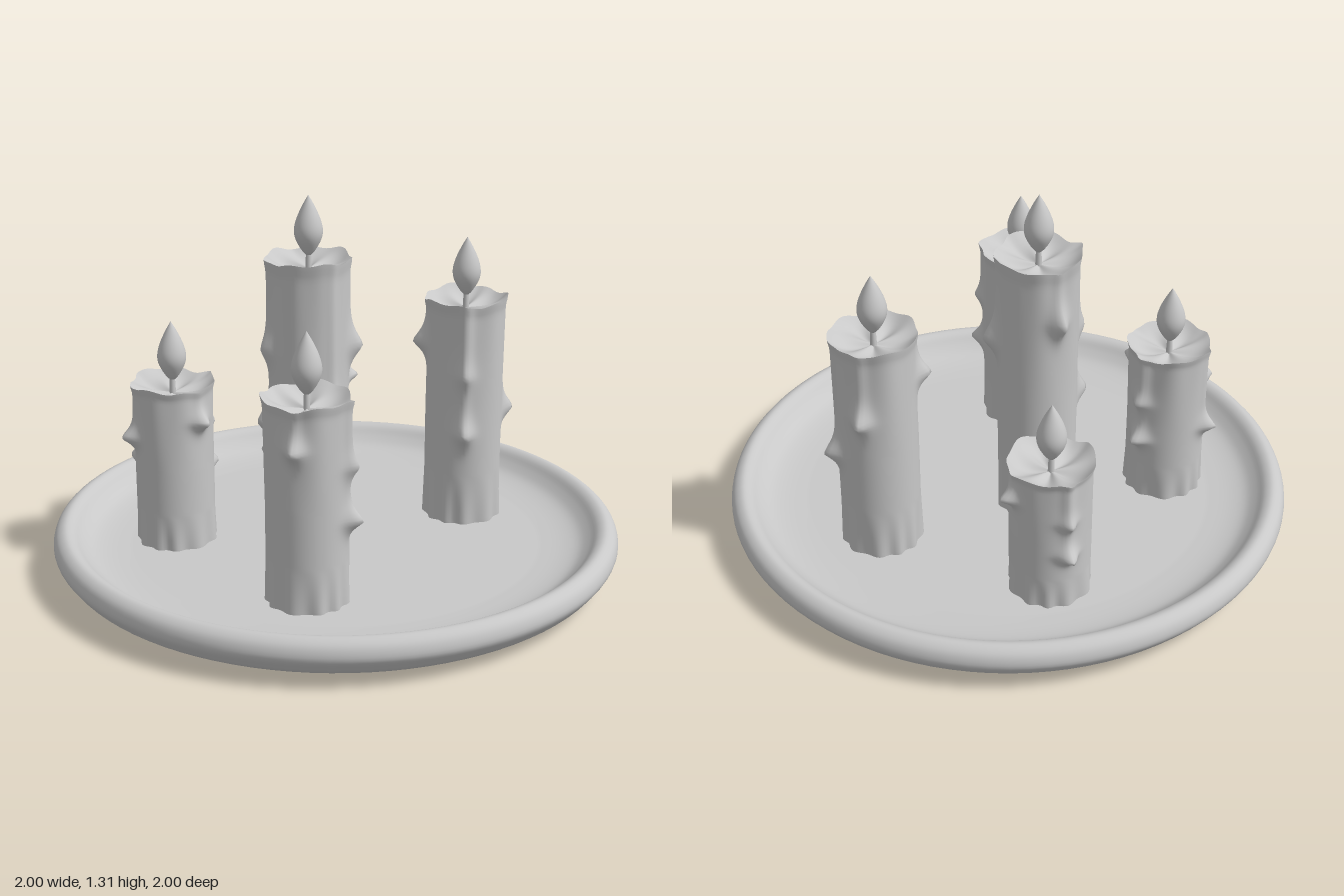
import * as THREE from 'three';
import { mergeVertices } from 'three/addons/utils/BufferGeometryUtils.js';

const FLOOR = 0.08, R = 0.138;
const stone = new THREE.MeshStandardMaterial({ color: 0xc8c8c8 });
stone.name = 'pale grey';

// wax drips: angle in degrees, height fraction of the bulb, how far it bulges
const DRIPS = [
  [-62, 0.80, 0.05], [51, 0.68, 0.05], [104, 0.47, 0.05],
  [-148, 0.42, 0.052], [-148, 0.68, 0.028],
];

const spline = (pts, n) =>
  new THREE.SplineCurve(pts.map(p => new THREE.Vector2(...p))).getPoints(n);

// smooth bump: 1 at zero, fading over the given width
const bump = (d, width, power) => Math.exp(-Math.pow(Math.abs(d / width), power));

function mesh(name, geometry) {
  const m = new THREE.Mesh(geometry, stone);
  m.name = name;
  return m;
}

// wavy lip shared by the wall and the melted top
const lip = a => 0.005 * Math.sin(3 * a + 1) + 0.005 * Math.sin(7 * a);

function waxRadius(a, f) {
  let r = R + 0.007 * bump(1 - f, 0.03, 2);
  // shallow folds that fade upward from the foot
  r += 0.006 * Math.sin(11 * a + Math.sin(3 * a)) * Math.max(0, 1 - f / 0.22);
  r += 0.6 * lip(a) * Math.max(0, (f - 0.5) * 2);
  for (const [deg, at, out] of DRIPS) {
    let d = a - THREE.MathUtils.degToRad(deg);
    d = Math.atan2(Math.sin(d), Math.cos(d));
    const dy = f - at;
    r += out * bump(d, 0.2, 1.6) * bump(dy, dy > 0 ? 0.06 : 0.05, 1.5);
    // thin run of wax from the lip down to the bulb
    r += 0.008 * bump(d, 0.14, 2) * THREE.MathUtils.smoothstep(dy, -0.03, 0.03);
  }
  return r;
}

// moves every vertex of a lathe by a rule and welds the seam
function reshape(points, segments, rule) {
  let g = new THREE.LatheGeometry(points, segments);
  const p = g.attributes.position;
  for (let i = 0; i < p.count; i++) {
    const x = p.getX(i), y = p.getY(i), z = p.getZ(i);
    const a = Math.atan2(z, x);
    const [r, h] = rule(a, Math.hypot(x, z), y);
    p.setXYZ(i, r * Math.cos(a), h, r * Math.sin(a));
  }
  g.deleteAttribute('uv');
  g.deleteAttribute('normal');
  g = mergeVertices(g, 1e-5);
  g.computeVertexNormals();
  return g;
}

function makeCandle(name, x, z, top, turn) {
  const candle = new THREE.Group();
  candle.name = name;
  const h = top - FLOOR;

  // dripping wall
  const wall = Array.from({ length: 61 }, (_, i) => new THREE.Vector2(R, i / 60));
  candle.add(mesh('waxBody', reshape(wall, 80, (a, r, f) =>
    [waxRadius(a, f), f * h + lip(a) * Math.pow(f, 8)])));

  // melted hollow in the top
  const bowl = Array.from({ length: 11 }, (_, i) => new THREE.Vector2(1 - i / 10, 0));
  candle.add(mesh('meltedTop', reshape(bowl, 80, (a, t) => {
    const dip = 0.042 * (t * t * t - 1);
    const folds = 0.032 * Math.sin(5 * a + 2) * t * (1 - t);
    return [t * waxRadius(a, 1), h + dip + folds + lip(a) * t * t];
  })));

  // wick and teardrop flame
  const wick = mesh('wick', new THREE.CylinderGeometry(0.009, 0.012, 0.07, 12));
  wick.position.y = h - 0.02;
  const flame = mesh('flame', new THREE.LatheGeometry(spline([
    [0, 0], [0.021, 0.02], [0.044, 0.06], [0.05, 0.095],
    [0.041, 0.135], [0.021, 0.18], [0, 0.217]], 24), 28));
  flame.position.y = h;
  candle.add(wick, flame);

  candle.position.set(x, FLOOR, z);
  candle.rotation.y = THREE.MathUtils.degToRad(-turn);
  return candle;
}

export function createModel() {
  const model = new THREE.Group();
  model.name = 'candlePlate';

  // round plate with a raised, rounded rim
  const profile = [
    new THREE.Vector2(0, 0),
    ...spline([[0.82, 0], [0.89, 0.012], [0.95, 0.04], [0.98, 0.07], [1, 0.105],
      [0.99, 0.145], [0.96, 0.166], [0.93, 0.158], [0.9, 0.128],
      [0.86, 0.1], [0.8, 0.086], [0.72, FLOOR]], 44),
    new THREE.Vector2(0, FLOOR),
  ];
  model.add(mesh('plate', new THREE.LatheGeometry(profile, 96)));

  // x, z, top height, turn in degrees
  [
    ['centreCandle', 0.005, -0.125, 1.09, 0],
    ['frontLeftCandle', 0.475, 0.215, 0.905, -68],
    ['frontRightCandle', -0.45, 0.24, 0.785, -141],
    ['backRightCandle', -0.355, -0.445, 0.665, 158],
    ['backLeftCandle', 0.375, -0.415, 0.585, 92],
  ].forEach(c => model.add(makeCandle(...c)));
  return model;
}
